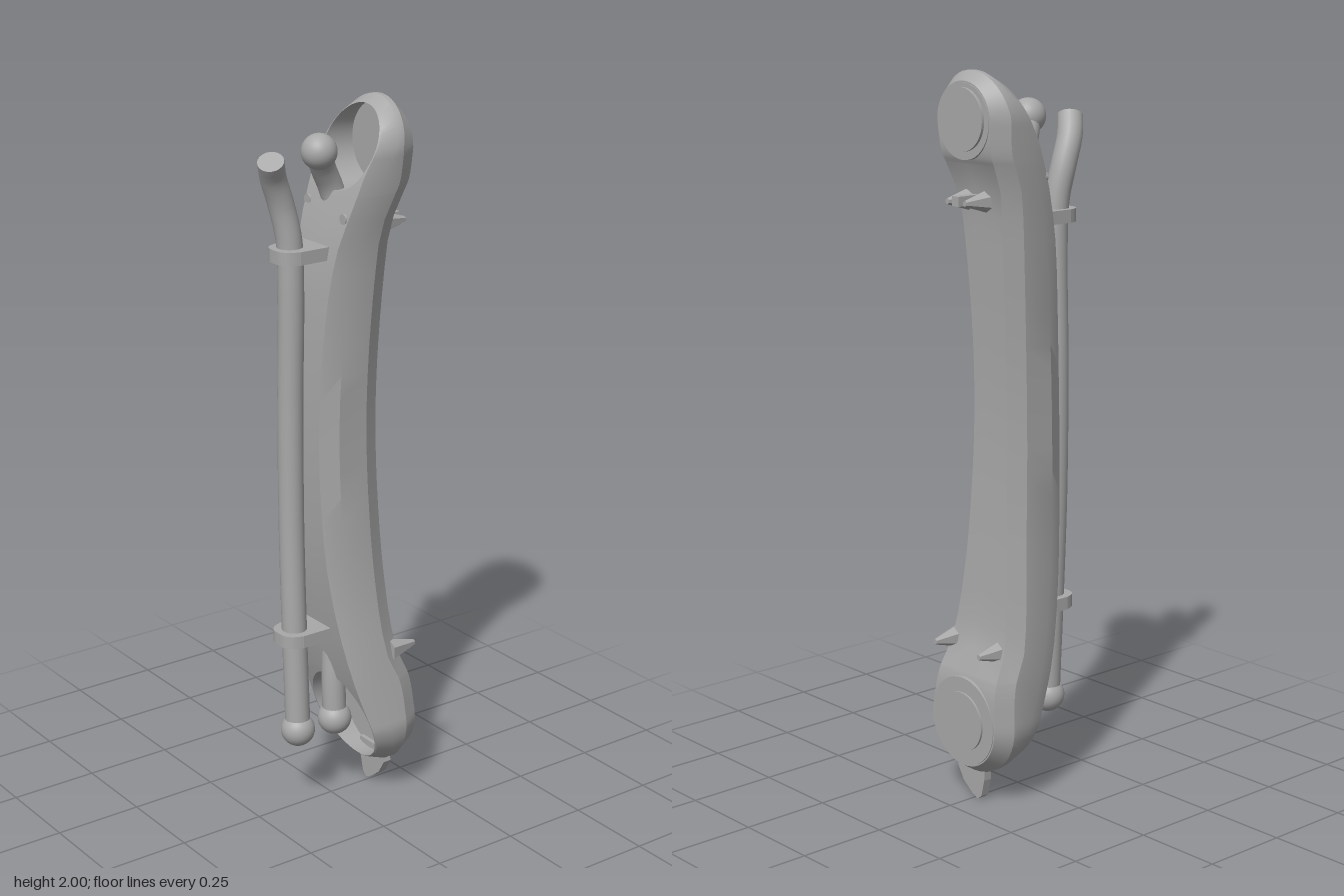
import * as THREE from 'three';
import { toCreasedNormals } from 'three/addons/utils/BufferGeometryUtils.js';

const V = (x, y, z) => new THREE.Vector3(x, y, z);

// Smooth curve through [position, value] pairs
function profile(pts) {
  const slope = (i) => {
    const a = pts[Math.max(0, i - 1)], b = pts[Math.min(pts.length - 1, i + 1)];
    return (b[1] - a[1]) / (b[0] - a[0]);
  };
  return (y) => {
    let i = 0;
    while (i < pts.length - 2 && y > pts[i + 1][0]) i++;
    const [y0, v0] = pts[i], [y1, v1] = pts[i + 1], h = y1 - y0;
    const t = THREE.MathUtils.clamp((y - y0) / h, 0, 1), u = 1 - t;
    return v0 * u * u * (1 + 2 * t) + v1 * t * t * (3 - 2 * t)
      + h * t * u * (u * slope(i) - t * slope(i + 1));
  };
}

// Link outline: half widths on each side, front depth and back depth along the height
const leftWidth = profile([[0.235, 0.155], [0.4, 0.126], [0.6, 0.093], [0.8, 0.075], [1.2, 0.066], [1.6, 0.086], [1.75, 0.114], [1.87, 0.13]]);
const rightWidth = profile([[0.235, 0.155], [0.4, 0.15], [0.6, 0.138], [0.8, 0.125], [1.2, 0.114], [1.6, 0.121], [1.75, 0.128], [1.87, 0.13]]);
const frontZ = profile([[0.08, -0.1], [0.2, -0.055], [0.4, 0.007], [0.6, 0.042], [0.8, 0.062], [1.1, 0.07], [1.4, 0.058], [1.6, 0.035], [1.8, -0.023], [1.9, -0.072], [2, -0.12]]);
const backZ = profile([[0.08, -0.2], [0.3, -0.2], [0.37, -0.19], [0.43, -0.162], [0.6, -0.142], [1.1, -0.12], [1.6, -0.138], [1.72, -0.155], [1.78, -0.182], [1.84, -0.188], [2, -0.188]]);

const bottom = { y: 0.235, R: 0.155, r: 0.135 };
const top = { y: 1.87, R: 0.13, r: 0.11 };
const pocketFloor = -0.15;

// One row of the link: outline point, inward direction, pocket edge
function linkRows(side) {
  const rows = [], n = 12, width = side > 0 ? leftWidth : rightWidth;
  const arc = (end, a) => {
    const c = Math.cos(a), s = Math.sin(a);
    rows.push({ x: end.R * c, y: end.y + end.R * s, nx: c, ny: s, px: end.r * c, py: end.y + end.r * s, pocket: end });
  };
  const straight = (y, px, pocket) => rows.push({ x: width(y), y, nx: 1, ny: 0, px, py: y, pocket });
  for (let i = 0; i <= n; i++) arc(bottom, (i / n - 1) * Math.PI / 2);
  for (let i = 1; i <= n; i++) {
    const a = i / n * Math.PI / 2;
    straight(bottom.y + bottom.r * Math.sin(a), i === n ? 0 : bottom.r * Math.cos(a), bottom);
  }
  const y0 = bottom.y + bottom.r, y1 = top.y - top.r;
  for (let i = 1; i < 20; i++) straight(y0 + (y1 - y0) * i / 20, 0, null);
  for (let i = n; i >= 1; i--) {
    const a = i / n * Math.PI / 2;
    straight(top.y - top.r * Math.sin(a), i === n ? 0 : top.r * Math.cos(a), top);
  }
  for (let i = 0; i <= n; i++) arc(top, i / n * Math.PI / 2);
  return rows;
}

// Cross-section from the back centre, round the side, to the pocket floor centre
function section(row, side) {
  const zf = frontZ(row.y), zb = backZ(row.y), t = zf - zb;
  const edge = 0.015 + 0.01 * Math.sin(Math.PI * THREE.MathUtils.clamp((row.y - 0.4) / 1.3, 0, 1));
  const p = (inset, z) => V(side * Math.max(0, row.x - row.nx * inset), row.y - row.ny * inset, z);
  const backIn = p(0.026, zb), frontIn = p(edge, zf);
  return [
    V(0, backIn.y, zb), backIn, p(0, zb + Math.min(0.05, t * 0.4)), p(0, zf - Math.min(0.05, t * 0.4)), frontIn,
    V(side * row.px, row.py, frontZ(row.py)), V(side * row.px, row.py, pocketFloor), V(0, row.py, pocketFloor),
  ];
}

function linkGeometry() {
  const pos = [];
  const tri = (a, b, c) => {
    const area = b.clone().sub(a).cross(c.clone().sub(a)).length();
    if (area > 1e-9) for (const v of [a, b, c]) pos.push(v.x, v.y, v.z);
  };
  for (const side of [1, -1]) {
    const rows = linkRows(side), loops = rows.map((r) => section(r, side));
    for (let j = 0; j < rows.length - 1; j++) {
      const inPocket = rows[j].pocket && rows[j].pocket === rows[j + 1].pocket;
      for (let i = 0; i < (inPocket ? 7 : 5); i++) {
        const a = loops[j][i], b = loops[j][i + 1], c = loops[j + 1][i], d = loops[j + 1][i + 1];
        if (side > 0) { tri(a, c, b); tri(b, c, d); } else { tri(a, b, c); tri(b, d, c); }
      }
    }
  }
  const g = new THREE.BufferGeometry();
  g.setAttribute('position', new THREE.Float32BufferAttribute(pos, 3));
  return toCreasedNormals(g, 0.45);
}

export function createModel() {
  const model = new THREE.Group();
  const grey = new THREE.MeshStandardMaterial({ color: 0xa8a8a8 });
  grey.name = 'grey';
  const add = (name, geometry, x = 0, y = 0, z = 0) => {
    const mesh = new THREE.Mesh(geometry, grey);
    mesh.name = name;
    mesh.position.set(x, y, z);
    model.add(mesh);
    return mesh;
  };
  // Disc or tapered stub pointing along z
  const stub = (rFront, rBack, depth, sides = 40) =>
    new THREE.CylinderGeometry(rFront, rBack, depth, sides).rotateX(Math.PI / 2);

  add('linkBody', linkGeometry());

  // Joint pads on the back of both ends
  add('lowerJointPad', stub(0.127, 0.125, 0.03), 0, bottom.y, -0.188);
  add('lowerJointCap', stub(0.083, 0.083, 0.04), 0, bottom.y, -0.189);
  add('upperJointPad', stub(0.102, 0.1, 0.03), 0, top.y, -0.175);
  add('upperJointCap', stub(0.083, 0.083, 0.04), 0, top.y + 0.005, -0.178);

  // Outer hose with a cut upper end and a ball at the bottom
  const outerPath = new THREE.CatmullRomCurve3([
    V(0, 0.235, 0.115), V(-0.006, 0.36, 0.115), V(-0.014, 0.52, 0.115), V(-0.03, 0.85, 0.112),
    V(-0.034, 1.2, 0.11), V(-0.028, 1.5, 0.11), V(-0.03, 1.64, 0.114), V(-0.036, 1.74, 0.135),
    V(-0.028, 1.81, 0.163), V(-0.003, 1.862, 0.188)]);
  add('outerHose', new THREE.TubeGeometry(outerPath, 80, 0.035, 20));
  const end = add('outerHoseEnd', new THREE.CircleGeometry(0.035, 20), -0.003, 1.862, 0.188);
  end.quaternion.setFromUnitVectors(V(0, 0, 1), outerPath.getTangent(1));
  add('outerHoseBall', new THREE.SphereGeometry(0.048, 28, 20), 0, 0.235, 0.115);

  // Inner hose running through the link with a ball in each pocket
  const innerPath = new THREE.CatmullRomCurve3([
    V(0, 0.235, -0.012), V(-0.005, 0.35, -0.012), V(-0.015, 0.5, -0.02), V(-0.02, 1, -0.03), V(-0.02, 1.5, -0.045),
    V(-0.022, 1.66, -0.046), V(-0.035, 1.76, -0.025), V(-0.025, 1.82, 0.008), V(0, 1.87, 0.038)]);
  add('innerHose', new THREE.TubeGeometry(innerPath, 70, 0.034, 18));
  add('innerHoseLowerBall', new THREE.SphereGeometry(0.048, 28, 20), 0, 0.235, -0.012);
  add('innerHoseUpperBall', new THREE.SphereGeometry(0.048, 28, 20), 0, 1.87, 0.038);

  // Hose clamps
  const clampShape = new THREE.Shape();
  clampShape.moveTo(-0.057, 0.02);
  clampShape.lineTo(0.057, 0.02);
  clampShape.lineTo(0.057, 0.12);
  clampShape.bezierCurveTo(0.05, 0.15, 0.035, 0.166, 0.01, 0.166);
  clampShape.lineTo(-0.01, 0.166);
  clampShape.bezierCurveTo(-0.035, 0.166, -0.05, 0.15, -0.057, 0.12);
  const clampGeometry = new THREE.ExtrudeGeometry(clampShape, { depth: 0.036, bevelEnabled: false, curveSegments: 8 }).rotateX(Math.PI / 2);
  add('upperClamp', clampGeometry, -0.024, 1.622, 0);
  add('lowerClamp', clampGeometry, -0.014, 0.538, 0.003);

  // Spikes on the back
  const spike = toCreasedNormals(stub(0.034, 0.008, 0.09, 6), 0.3);
  for (const s of [1, -1]) {
    add('lowerSpike', spike, s * 0.09, 0.445, -0.178);
    add('upperSpike', spike, s * 0.035, 1.662, -0.17);
  }
  add('upperSpikeRib', new THREE.BoxGeometry(0.026, 0.026, 0.08), 0, 1.665, -0.178);

  // Fin under the lower end
  const fin = new THREE.Shape();
  fin.moveTo(-0.045, 0.12);
  [[-0.042, 0.06], [-0.03, 0.012], [-0.015, 0], [0.01, 0.012], [0.045, 0.04], [0.068, 0.08], [0.06, 0.12]].forEach((p) => fin.lineTo(...p));
  add('lowerFin', new THREE.ExtrudeGeometry(fin, { depth: 0.025, bevelEnabled: false }), 0, 0, -0.162);

  // Small studs beside the upper pocket
  add('frontStud', stub(0.014, 0.014, 0.02, 16), -0.1, 1.72, -0.004);
  add('frontStud', stub(0.014, 0.014, 0.02, 16), 0.07, 1.7, 0.004);

  return model;
}
